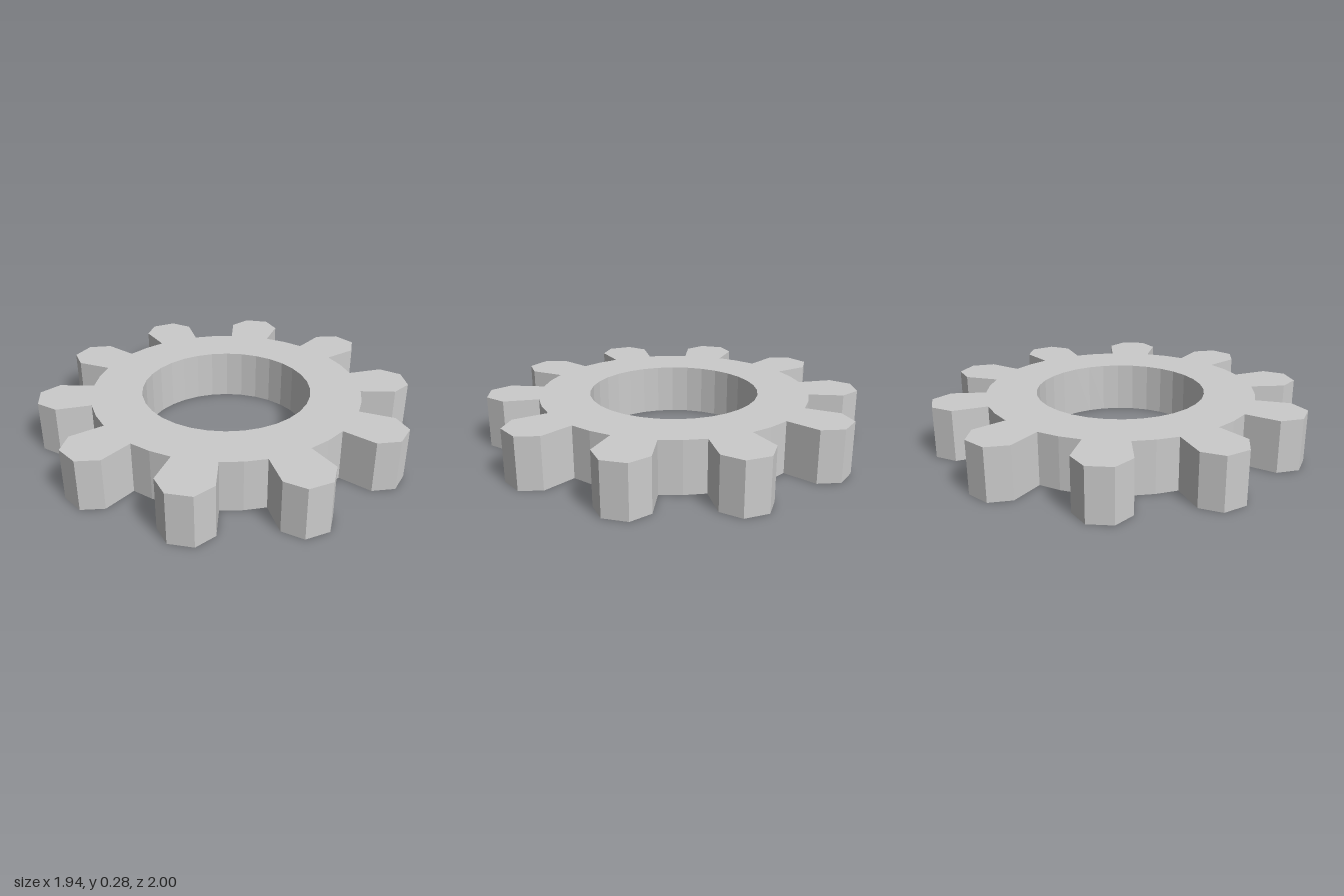
import * as THREE from 'three';

const TEETH = 10;
const HEIGHT = 0.275;
const BORE = 0.456;

// One tooth pointing along +y, listed counter-clockwise, ending in the middle of the gap
const GAP = 0.728;
const TOOTH = [
  [0.113, 0.719], [0.14, 0.903], [0.065, 1],
  [-0.065, 1], [-0.14, 0.903], [-0.113, 0.719],
  [-GAP * Math.sin(Math.PI / TEETH), GAP * Math.cos(Math.PI / TEETH)],
];

export function createModel() {
  const group = new THREE.Group();
  group.name = 'gear';

  // Outline: the tooth repeated around the ring
  const outline = [];
  for (let i = 0; i < TEETH; i++) {
    const angle = (i / TEETH) * Math.PI * 2;
    for (const [x, y] of TOOTH) {
      outline.push(new THREE.Vector2(x, y).rotateAround(new THREE.Vector2(), angle));
    }
  }
  const shape = new THREE.Shape(outline);

  // Round bore through the centre
  const bore = new THREE.Path();
  bore.absarc(0, 0, BORE, 0, Math.PI * 2, true);
  shape.holes.push(bore);

  const geometry = new THREE.ExtrudeGeometry(shape, {
    depth: HEIGHT, bevelEnabled: false, curveSegments: 16,
  });
  geometry.rotateX(-Math.PI / 2); // lay flat on the ground

  const gear = new THREE.Mesh(
    geometry,
    new THREE.MeshStandardMaterial({ color: 0xcccccc, flatShading: true }),
  );
  gear.name = 'toothedRing';
  group.add(gear);
  return group;
}
